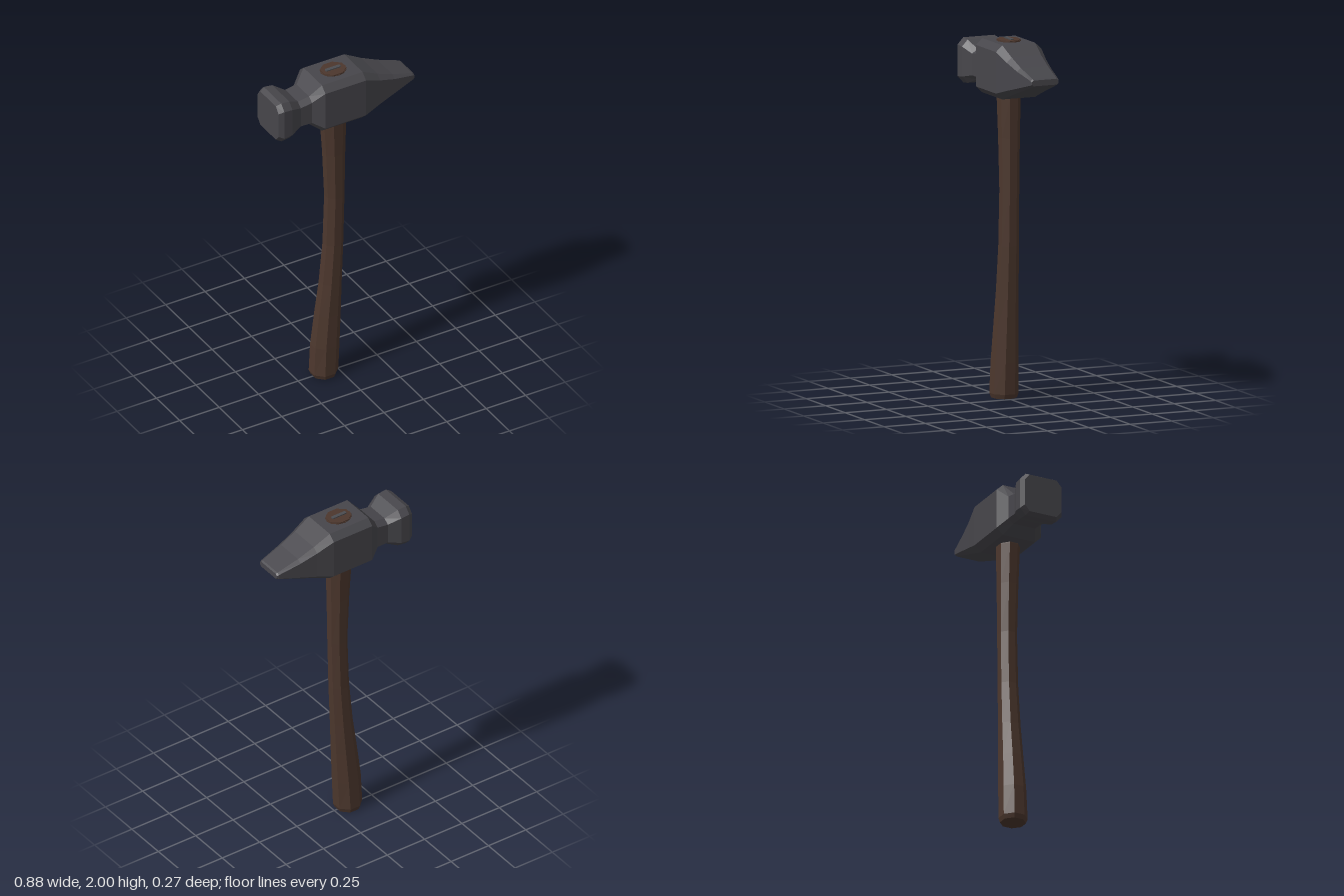
import * as THREE from 'three';

const steel = new THREE.MeshStandardMaterial({ color: 0x47464b, flatShading: true });
steel.name = 'darkSteel';
const wood = new THREE.MeshStandardMaterial({ color: 0x4c372d, flatShading: true });
wood.name = 'brownWood';
const wedgeSteel = new THREE.MeshStandardMaterial({ color: 0x4b4c50, flatShading: true });
wedgeSteel.name = 'wedgeSteel';

// Skins a series of equal rings and caps both ends
// (rings run anticlockwise about the direction of travel).
function loft(rings) {
  const n = rings[0].length;
  const index = [];
  for (let r = 0; r < rings.length - 1; r++) {
    for (let i = 0; i < n; i++) {
      const j = (i + 1) % n;
      const a = r * n + i, b = r * n + j, c = b + n, d = a + n;
      index.push(a, b, c, a, c, d);
    }
  }
  const last = (rings.length - 1) * n;
  for (let i = 1; i < n - 1; i++) {
    index.push(0, i + 1, i);
    index.push(last, last + i, last + i + 1);
  }
  const geometry = new THREE.BufferGeometry();
  geometry.setAttribute('position', new THREE.Float32BufferAttribute(rings.flat(2), 3));
  geometry.setIndex(index);
  const flat = geometry.toNonIndexed();
  flat.computeVertexNormals();
  return flat;
}

// Chamfered rectangle across the head at x
function headRing([x, bottom, top, w, cy, cz]) {
  const f = w - cz;
  return [
    [x, top, -f], [x, top, f], [x, top - cy, w], [x, bottom + cy, w],
    [x, bottom, f], [x, bottom, -f], [x, bottom + cy, -w], [x, top - cy, -w],
  ];
}

// Octagon with flats to the front and sides, from x0 to x1 at height y
function handleRing([y, x0, x1, w]) {
  const ring = [];
  const k = 1 / Math.cos(Math.PI / 8);
  for (let i = 0; i < 8; i++) {
    const a = (i + 0.5) * Math.PI / 4;
    ring.push([(x0 + x1) / 2 + Math.sin(a) * k * (x1 - x0) / 2, y, Math.cos(a) * k * w]);
  }
  return ring;
}

function add(group, name, geometry, material) {
  const mesh = new THREE.Mesh(geometry, material);
  mesh.name = name;
  group.add(mesh);
  return mesh;
}

export function createModel() {
  const group = new THREE.Group();
  group.name = 'hammer';

  // Head: striking face, neck, body, then the tapering peen
  // x, bottom, top, half depth, chamfer height, chamfer depth
  const head = [
    [-0.44, 1.715, 1.935, 0.113, 0.035, 0.03],
    [-0.412, 1.7, 1.95, 0.128, 0.037, 0.034],
    [-0.36, 1.705, 1.945, 0.126, 0.037, 0.034],
    [-0.29, 1.733, 1.903, 0.097, 0.025, 0.032],
    [-0.22, 1.733, 1.915, 0.099, 0.025, 0.032],
    [-0.157, 1.685, 1.985, 0.137, 0.035, 0.038],
    [0.1, 1.685, 1.985, 0.137, 0.035, 0.038],
    [0.2, 1.722, 1.932, 0.119, 0.027, 0.03],
    [0.3, 1.757, 1.889, 0.104, 0.019, 0.023],
    [0.43, 1.802, 1.846, 0.084, 0.009, 0.014],
    [0.44, 1.808, 1.84, 0.08, 0.009, 0.012],
  ];
  add(group, 'head', loft(head.map(headRing)), steel);

  // Handle: curved shaft passing through the head
  // y, left edge, right edge, half depth
  const handle = [
    [0, -0.155, -0.022, 0.066],
    [0.025, -0.165, -0.013, 0.074],
    [0.2, -0.157, -0.004, 0.07],
    [0.4, -0.133, 0.005, 0.063],
    [0.6, -0.106, 0.013, 0.057],
    [0.85, -0.083, 0.024, 0.052],
    [1.16, -0.073, 0.032, 0.05],
    [1.45, -0.085, 0.036, 0.054],
    [1.68, -0.1, 0.042, 0.059],
    [1.994, -0.097, 0.041, 0.059],
  ];
  add(group, 'handle', loft(handle.map(handleRing)), wood);

  // Low wooden rim where the handle fills the eye of the head
  const rim = add(group, 'eyeRim', new THREE.CylinderGeometry(1, 1, 0.008, 12), wood);
  rim.scale.set(0.077, 1, 0.064);
  rim.position.set(-0.028, 1.985, 0);

  // Wedge driven into the top of the handle, with clipped corners
  const wedge = [
    [-0.077, -0.006], [-0.073, -0.01], [0.013, -0.01], [0.017, -0.006],
    [0.017, 0.006], [0.013, 0.01], [-0.073, 0.01], [-0.077, 0.006],
  ].reverse();
  const wedgeRing = (y) => wedge.map(([x, z]) => [x, y, z]);
  add(group, 'wedge', loft([wedgeRing(1.991), wedgeRing(2)]), wedgeSteel);

  return group;
}
